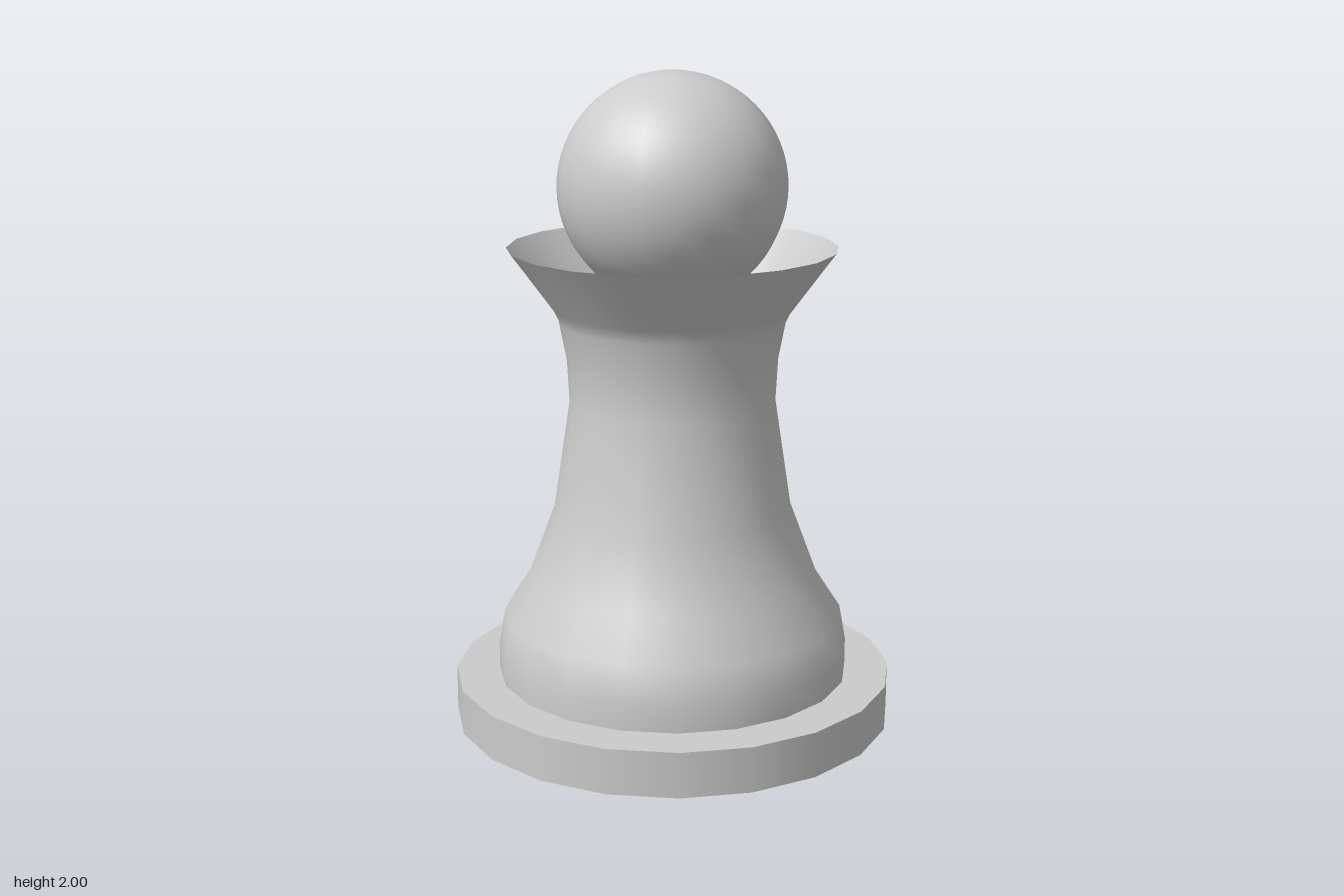
import * as THREE from 'three';

const SIDES = 20;

export function createModel() {
  const group = new THREE.Group();
  const grey = new THREE.MeshStandardMaterial({ color: 0xcccccc });
  const openGrey = new THREE.MeshStandardMaterial({ color: 0xcccccc, side: THREE.DoubleSide });

  const add = (name, geometry, material, y = 0) => {
    const mesh = new THREE.Mesh(geometry, material);
    mesh.name = name;
    mesh.position.y = y;
    group.add(mesh);
  };

  // Flat disc foot
  add('base', new THREE.CylinderGeometry(0.68, 0.68, 0.14, SIDES), grey, 0.07);

  // Waisted body flaring into an open cup
  const profile = [
    [0.545, 0.14], [0.545, 0.22], [0.525, 0.33], [0.447, 0.45], [0.365, 0.67],
    [0.315, 1.0], [0.322, 1.13], [0.345, 1.25], [0.364, 1.29], [0.47, 1.435], [0.5, 1.475],
  ].map(([r, y]) => new THREE.Vector2(r, y));
  add('body', new THREE.LatheGeometry(profile, SIDES), openGrey);

  // Ball resting in the cup
  add('head', new THREE.SphereGeometry(0.346, SIDES, 32), grey, 1.654);

  return group;
}
